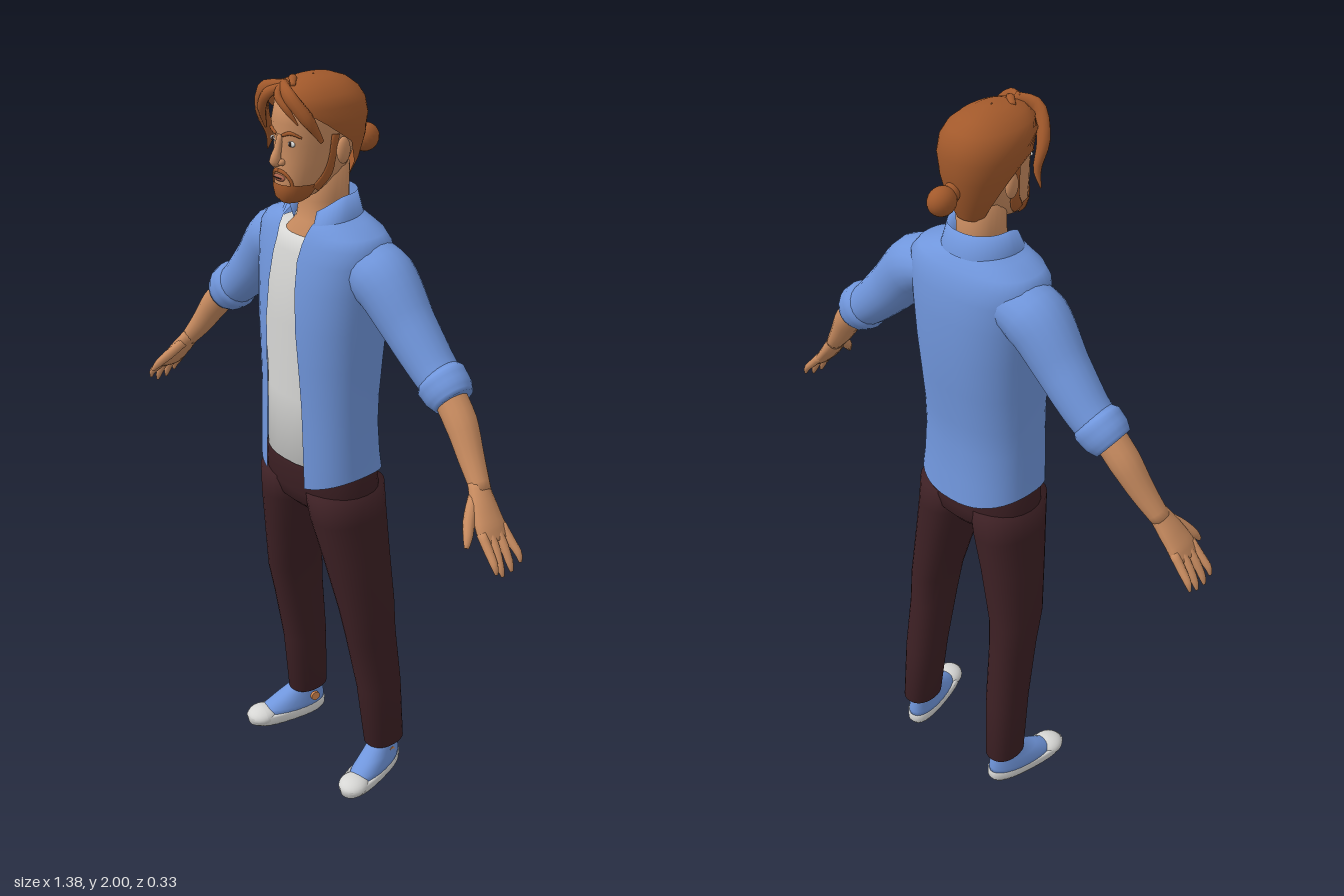
import * as THREE from 'three';

const V = (x, y, z) => new THREE.Vector3(x, y, z);
const mat = (name, color) => new THREE.MeshStandardMaterial({ name, color, side: THREE.DoubleSide });

// Skin a list of rings; closed rings wrap round and get end caps.
function skin(rings, closed) {
  const n = rings[0].length, pos = [], idx = [];
  rings.forEach(r => r.forEach(p => pos.push(p.x, p.y, p.z)));
  const wrap = closed ? n : n - 1;
  for (let i = 0; i < rings.length - 1; i++) for (let j = 0; j < wrap; j++) {
    const a = i * n + j, b = i * n + (j + 1) % n;
    idx.push(a, b, b + n, a, b + n, a + n);
  }
  if (closed) [0, rings.length - 1].forEach((i, top) => {
    const c = rings[i].reduce((s, p) => s.add(p), V(0, 0, 0)).divideScalar(n), k = pos.length / 3;
    pos.push(c.x, c.y, c.z);
    for (let j = 0; j < n; j++) {
      const a = i * n + j, b = i * n + (j + 1) % n;
      top ? idx.push(a, b, k) : idx.push(b, a, k);
    }
  });
  const g = new THREE.BufferGeometry();
  g.setAttribute('position', new THREE.Float32BufferAttribute(pos, 3));
  g.setIndex(idx);
  g.computeVertexNormals();
  return g;
}

const bulge = (s, p) => Math.sign(s) * Math.abs(s) ** p;

// Level rings, bottom to top: [y, centreX, halfWidth, zFront, zBack, startAngle, endAngle].
// Angles run from the front (+z) towards +x; rows without angles are full rings.
function stack(rows, { p = 0.9, n = 28, tweak } = {}) {
  const closed = rows[0][5] === undefined;
  return skin(rows.map(([y, cx, hw, zf, zb, a0 = 0, a1 = Math.PI * 2], i) =>
    Array.from({ length: closed ? n : n + 1 }, (_, j) => {
      const a = a0 + (a1 - a0) * j / n;
      const v = V(cx + hw * bulge(Math.sin(a), p), y, (zf + zb) / 2 + (zf - zb) / 2 * bulge(Math.cos(a), p));
      if (tweak) tweak(v, a, i);
      return v;
    })), closed);
}

// Limb along a smooth path; each point is [x, y, z, thickness, depth].
function limb(points, steps = 12, n = 14) {
  const curve = new THREE.CatmullRomCurve3(points.map(q => V(q[0], q[1], q[2])));
  const rings = [];
  for (let i = 0; i <= steps; i++) {
    const t = i / steps, f = t * (points.length - 1), k = Math.min(Math.floor(f), points.length - 2);
    const mix = c => THREE.MathUtils.lerp(points[k][c], points[k + 1][c], f - k);
    const T = curve.getTangent(t), c = curve.getPoint(t);
    const w = V(0, 0, 1).addScaledVector(T, -T.z).normalize(), u = T.clone().cross(w);
    rings.push(Array.from({ length: n }, (_, j) => {
      const a = j / n * Math.PI * 2;
      return c.clone().addScaledVector(u, Math.sin(a) * mix(3)).addScaledVector(w, Math.cos(a) * mix(4));
    }));
  }
  return skin(rings, true);
}

const ball = (x, y, z, rx, ry, rz) => new THREE.SphereGeometry(1, 20, 14).scale(rx, ry, rz).translate(x, y, z);

function mirrored(geo) {
  const g = geo.clone().scale(-1, 1, 1), ix = g.index.array;
  for (let i = 0; i < ix.length; i += 3) [ix[i], ix[i + 1]] = [ix[i + 1], ix[i]];
  g.computeVertexNormals();
  return g;
}

export function createModel() {
  const root = new THREE.Group();
  const blue = mat('denim blue', 0x7096dc), white = mat('off white', 0xd6d6d4), flesh = mat('skin', 0xc98c60);
  const auburn = mat('auburn hair', 0xa2592b), maroon = mat('dark maroon', 0x3d2024);
  const dark = mat('dark iris', 0x2c1e1a), lip = mat('lip', 0xa5604a), orange = mat('orange patch', 0xd98a50);
  const add = (name, geo, m) => {
    const mesh = new THREE.Mesh(geo, m);
    mesh.name = name;
    root.add(mesh);
  };
  const pair = (name, geo, m) => { add(name + 'Left', geo, m); add(name + 'Right', mirrored(geo), m); };

  // Trousers
  add('trouserHips', stack([[0.865, 0, 0.1, 0.08, -0.08], [0.89, 0, 0.15, 0.105, -0.1], [0.93, 0, 0.175, 0.118, -0.107],
    [1.0, 0, 0.164, 0.126, -0.106], [1.05, 0, 0.155, 0.122, -0.1]]), maroon);
  pair('trouserLeg', stack([[0.1, 0.168, 0.047, -0.02, -0.14], [0.3, 0.16, 0.052, 0.003, -0.13],
    [0.48, 0.153, 0.053, 0.04, -0.112], [0.58, 0.15, 0.058, 0.062, -0.106], [0.75, 0.121, 0.07, 0.092, -0.105],
    [0.86, 0.1, 0.078, 0.113, -0.108], [0.94, 0.09, 0.085, 0.12, -0.105]]), maroon);

  // Shoes, toes turned out
  const foot = g => g.rotateY(0.23).translate(0.19, 0, 0);
  pair('shoeSole', foot(stack([[0, 0, 0.036, 0.095, -0.13], [0.012, 0, 0.043, 0.113, -0.138],
    [0.035, 0, 0.046, 0.118, -0.138], [0.038, 0, 0.04, 0.11, -0.13]], { p: 0.8 })), white);
  pair('shoeUpper', foot(stack([[0.03, 0, 0.043, 0.085, -0.135], [0.05, 0, 0.042, 0.065, -0.135],
    [0.075, 0, 0.037, 0.02, -0.132], [0.1, -0.002, 0.032, -0.025, -0.128], [0.12, -0.002, 0.031, -0.03, -0.125]])), blue);
  pair('shoeToeCap', foot(ball(0, 0.03, 0.07, 0.042, 0.027, 0.046)), white);
  [0.205, -0.128].forEach((x, i) => add('shoePatch' + (i ? 'Right' : 'Left'),
    new THREE.CylinderGeometry(0.014, 0.014, 0.008, 16).rotateZ(Math.PI / 2).rotateY(i ? -0.23 : 0.23)
      .translate(x, 0.07, -0.075), orange));

  // Undershirt
  add('undershirt', stack([[1.02, 0, 0.15, 0.13, -0.095], [1.2, 0, 0.15, 0.125, -0.095], [1.4, 0, 0.155, 0.129, -0.11],
    [1.5, 0, 0.16, 0.121, -0.115], [1.58, 0, 0.16, 0.107, -0.105], [1.62, 0, 0.13, 0.094, -0.09]]), white);

  // Open shirt: [y, halfWidth, zFront, zBack, right edge x, left edge x]
  const shirtRows = [[0.96, 0.17, 0.141, -0.122, 0.075, 0.075], [1.03, 0.168, 0.14, -0.114, 0.073, 0.072],
    [1.12, 0.165, 0.138, -0.107, 0.071, 0.068], [1.2, 0.165, 0.137, -0.11, 0.068, 0.064],
    [1.3, 0.168, 0.139, -0.121, 0.065, 0.058], [1.4, 0.174, 0.14, -0.13, 0.061, 0.05],
    [1.5, 0.182, 0.132, -0.131, 0.056, 0.042], [1.57, 0.19, 0.12, -0.127, 0.051, 0.038],
    [1.61, 0.192, 0.108, -0.117, 0.048, 0.042], [1.635, 0.172, 0.1, -0.105, 0.05, 0.048],
    [1.655, 0.12, 0.09, -0.09, 0.052, 0.052], [1.67, 0.078, 0.075, -0.078, 0.055, 0.055]];
  const edge = (x, hw) => Math.asin((x / hw) ** (1 / 0.85));
  add('openShirt', stack(shirtRows.map(([y, hw, zf, zb, xr, xl]) =>
    [y, 0, hw, zf, zb, edge(xl, hw), Math.PI * 2 - edge(xr, hw)]), {
    p: 0.85, n: 40, tweak: (v, a, i) => { if (i === 0) v.y += 0.035 * Math.sin(a) ** 2; },
  }), blue);
  const ca = (g) => [g, Math.PI * 2 - g];
  add('shirtCollar', stack([[1.66, 0, 0.1, 0.112, -0.09, ...ca(0.62)], [1.718, 0, 0.081, 0.083, -0.076, ...ca(0.65)],
    [1.665, 0, 0.068, 0.07, -0.066, ...ca(0.75)]], {
    n: 36, tweak: (v, a) => { v.y -= 0.045 * Math.max(0, Math.cos(a)) ** 1.5; },
  }), blue);

  // Sleeves, cuffs and forearms
  pair('sleeve', limb([[0.12, 1.565, -0.015, 0.065, 0.085], [0.195, 1.535, -0.018, 0.079, 0.083],
    [0.28, 1.445, -0.022, 0.068, 0.066], [0.36, 1.365, -0.025, 0.058, 0.058], [0.41, 1.325, -0.024, 0.052, 0.053]], 20, 20), blue);
  pair('rolledCuff', limb([[0.378, 1.352, -0.024, 0.054, 0.052], [0.392, 1.341, -0.024, 0.066, 0.063],
    [0.42, 1.32, -0.022, 0.063, 0.06], [0.44, 1.305, -0.02, 0.052, 0.05]], 9, 20), blue);
  pair('forearm', limb([[0.41, 1.33, -0.02, 0.04, 0.042], [0.47, 1.265, -0.014, 0.039, 0.041],
    [0.52, 1.195, -0.002, 0.031, 0.033], [0.57, 1.132, 0.012, 0.022, 0.026]]), flesh);

  // Hands
  pair('palm', limb([[0.555, 1.15, 0.01, 0.021, 0.026], [0.59, 1.105, 0.022, 0.021, 0.037],
    [0.622, 1.065, 0.03, 0.018, 0.045], [0.642, 1.038, 0.03, 0.012, 0.042]]), flesh);
  pair('thumb', limb([[0.568, 1.125, 0.035, 0.013, 0.014], [0.59, 1.09, 0.07, 0.014, 0.015],
    [0.612, 1.06, 0.095, 0.011, 0.012], [0.622, 1.04, 0.108, 0.005, 0.006]], 8, 10), flesh);
  [[0.064, 0.072, 0.985], [0.042, 0.05, 0.97], [0.019, 0.02, 0.972], [-0.002, -0.009, 0.985]].forEach(([z0, z1, y], i) =>
    pair('finger' + (i + 1), limb([[0.625, 1.063, z0, 0.012, 0.012], [0.655, 1.03, (z0 + z1) / 2, 0.011, 0.011],
      [0.678, y + 0.02, z1, 0.009, 0.009], [0.686, y, z1, 0.004, 0.004]], 8, 10), flesh));

  // Neck and head
  add('neck', stack([[1.58, 0, 0.12, 0.09, -0.07], [1.62, 0, 0.085, 0.088, -0.065], [1.65, 0, 0.062, 0.066, -0.062],
    [1.7, 0, 0.056, 0.06, -0.06], [1.78, 0, 0.056, 0.06, -0.062]]), flesh);
  add('head', stack([[1.712, 0, 0.022, 0.125, 0.06], [1.724, 0, 0.038, 0.136, 0.03], [1.745, 0, 0.051, 0.139, -0.01],
    [1.77, 0, 0.06, 0.138, -0.05], [1.81, 0, 0.069, 0.137, -0.07], [1.85, 0, 0.074, 0.134, -0.08],
    [1.9, 0, 0.079, 0.139, -0.09], [1.94, 0, 0.074, 0.13, -0.08], [1.97, 0, 0.05, 0.1, -0.05]]), flesh);
  pair('ear', ball(0.082, 1.83, 0.012, 0.012, 0.032, 0.019), flesh);
  add('nose', limb([[0, 1.872, 0.131, 0.008, 0.008], [0, 1.84, 0.141, 0.009, 0.009], [0, 1.814, 0.148, 0.013, 0.016],
    [0, 1.803, 0.143, 0.011, 0.01]], 9), flesh);
  pair('nostril', ball(0.012, 1.81, 0.14, 0.008, 0.008, 0.01), flesh);

  // Face details
  pair('eye', ball(0.031, 1.855, 0.126, 0.013, 0.007, 0.005), white);
  pair('iris', ball(0.031, 1.855, 0.1295, 0.005, 0.0055, 0.003), dark);
  pair('eyebrow', limb([[0.012, 1.873, 0.136, 0.004, 0.004], [0.034, 1.881, 0.131, 0.005, 0.004],
    [0.054, 1.871, 0.114, 0.002, 0.003]], 8, 8), auburn);
  add('lips', ball(0, 1.771, 0.138, 0.02, 0.008, 0.007), lip);
  add('mouthLine', ball(0, 1.772, 0.1435, 0.016, 0.0016, 0.003), dark);
  pair('moustache', limb([[0, 1.788, 0.139, 0.005, 0.004], [0.016, 1.785, 0.136, 0.005, 0.004],
    [0.03, 1.768, 0.128, 0.004, 0.004], [0.033, 1.745, 0.124, 0.004, 0.004]], 8, 8), auburn);
  add('beard', stack([[1.708, 0, 0.022, 0.126, 0.056, -1.6, 1.6], [1.722, 0, 0.041, 0.14, 0.027, -1.6, 1.6],
    [1.745, 0, 0.054, 0.143, -0.012, -1.5, 1.5], [1.757, 0, 0.059, 0.142, -0.035, -1.3, 1.3]]), auburn);
  pair('sideburn', limb([[0.05, 1.742, 0.07, 0.005, 0.015], [0.063, 1.775, 0.045, 0.005, 0.016],
    [0.073, 1.815, 0.038, 0.004, 0.011], [0.078, 1.87, 0.032, 0.005, 0.012]], 8, 10), auburn);

  // Hair swept back into a bun
  add('hairCap', stack([[1.745, 0, 0.05, 0.09, -0.066, ...ca(2.25)], [1.79, 0, 0.073, 0.11, -0.086, ...ca(2.05)],
    [1.85, 0, 0.091, 0.13, -0.1, ...ca(1.72)], [1.9, 0, 0.1, 0.142, -0.104, ...ca(1.2)],
    [1.935, 0, 0.096, 0.145, -0.097, ...ca(0.7)], [1.96, 0, 0.083, 0.142, -0.081, ...ca(0.25)],
    [1.98, 0, 0.06, 0.122, -0.054, ...ca(0)], [1.992, 0, 0.034, 0.085, -0.02, ...ca(0)],
    [1.995, 0, 0.002, 0.035, 0.03, ...ca(0)]], { n: 36 }), auburn);
  add('hairBun', ball(0, 1.815, -0.13, 0.032, 0.035, 0.038), auburn);
  add('hairTie', ball(0, 1.825, -0.1, 0.022, 0.024, 0.02), auburn);
  const locks = [
    [[0.005, 1.985, 0.115, 0.012, 0.012], [-0.045, 1.968, 0.138, 0.021, 0.014], [-0.082, 1.905, 0.118, 0.017, 0.016],
      [-0.09, 1.845, 0.09, 0.009, 0.011], [-0.106, 1.805, 0.085, 0.001, 0.002]],
    [[0.01, 1.985, 0.12, 0.008, 0.01], [-0.025, 1.965, 0.147, 0.013, 0.01], [-0.056, 1.925, 0.14, 0.012, 0.01],
      [-0.075, 1.87, 0.115, 0.002, 0.003]],
    [[-0.01, 1.985, 0.115, 0.012, 0.012], [0.04, 1.968, 0.138, 0.019, 0.014], [0.078, 1.92, 0.118, 0.017, 0.016],
      [0.092, 1.865, 0.085, 0.003, 0.006]],
    [[-0.005, 1.988, 0.11, 0.008, 0.01], [0.012, 1.968, 0.149, 0.009, 0.009], [0.04, 1.94, 0.146, 0.009, 0.008],
      [0.06, 1.905, 0.13, 0.002, 0.002]],
    [[-0.03, 1.988, 0.07, 0.006, 0.008], [-0.005, 1.993, 0.09, 0.007, 0.01], [0.02, 1.985, 0.11, 0.004, 0.006]]];
  locks.forEach((l, i) => add('hairLock' + (i + 1), limb(l, 14, 10), auburn));

  return root;
}
